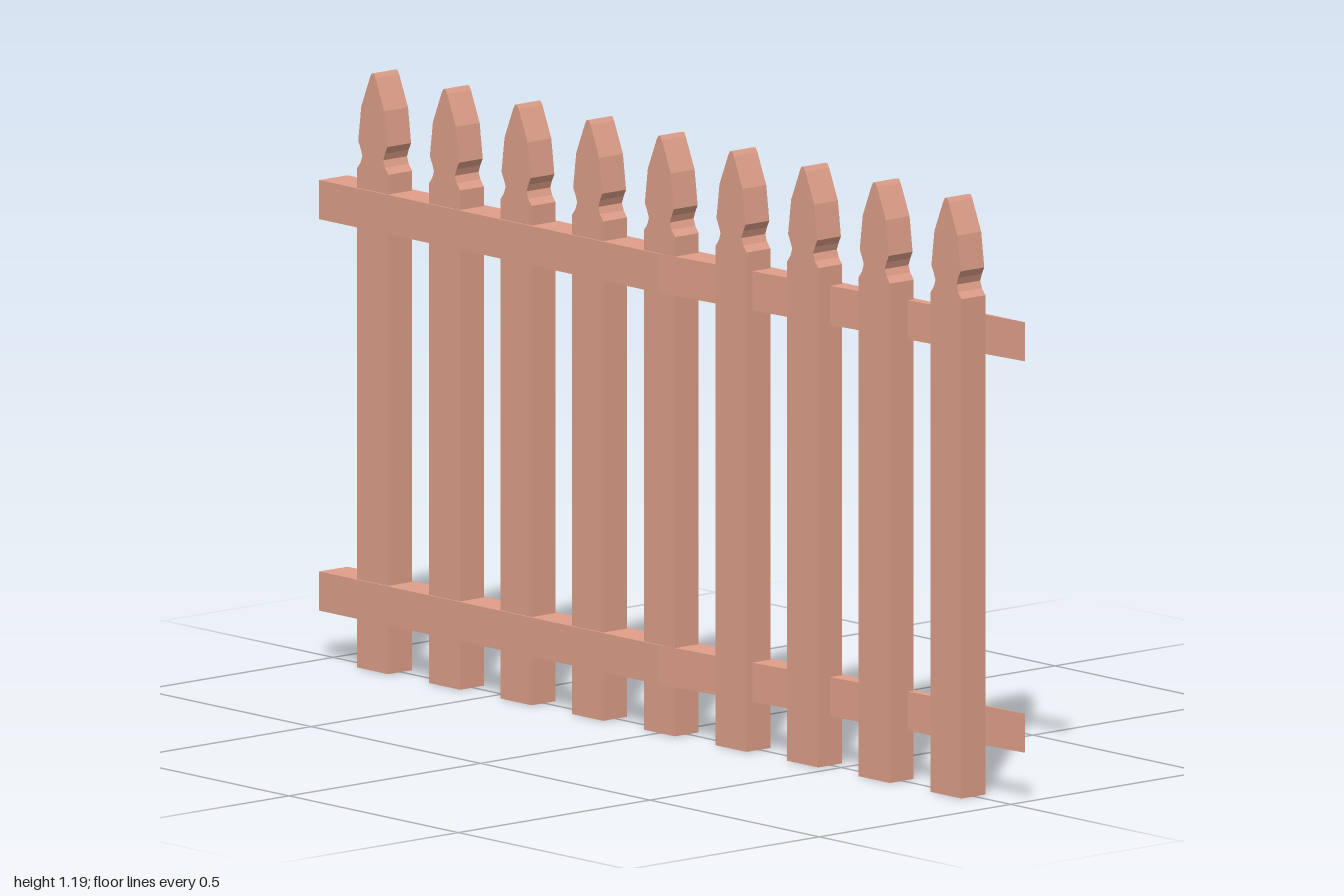
import * as THREE from 'three';

const wood = new THREE.MeshStandardMaterial({ color: 0xe0a08a, flatShading: true });

const polygon = (points) => new THREE.Shape(points.map(([x, y]) => new THREE.Vector2(x, y)));
const extrude = (points, depth) =>
  new THREE.ExtrudeGeometry(polygon(points), { depth, bevelEnabled: false });

// Picket outline (half width, height): straight board, notched neck, spear head
function picketGeometry() {
  const half = [
    [0.046, 0], [0.046, 0.995], [0.036, 1.008], [0.031, 1.022], [0.036, 1.036],
    [0.043, 1.05], [0.034, 1.12], [0.008, 1.182], [0.003, 1.19],
  ];
  const mirrored = half.map(([x, y]) => [-x, y]).reverse();
  return extrude([...half, ...mirrored], 0.062)
    .translate(0, 0, -0.029)
    .rotateY(-Math.PI / 2);
}

// Rail plan (x, -z): full thickness at the back, tapering to a wedge at the front
function railGeometry() {
  const w = 0.037;
  return extrude([[w, -1], [w, 1], [-w, 1], [-w, 0]], 0.078).rotateX(-Math.PI / 2);
}

export function createModel() {
  const fence = new THREE.Group();
  fence.name = 'picketFence';

  // Nine evenly spaced pickets
  const picketGeo = picketGeometry();
  for (let i = 0; i < 9; i++) {
    const picket = new THREE.Mesh(picketGeo, wood);
    picket.name = `picket${i + 1}`;
    picket.position.z = (i - 4) * 0.2115;
    fence.add(picket);
  }

  // Two horizontal rails running through the pickets
  const railGeo = railGeometry();
  for (const [name, y] of [['lowerRail', 0.098], ['upperRail', 0.878]]) {
    const rail = new THREE.Mesh(railGeo, wood);
    rail.name = name;
    rail.position.y = y;
    fence.add(rail);
  }

  return fence;
}
